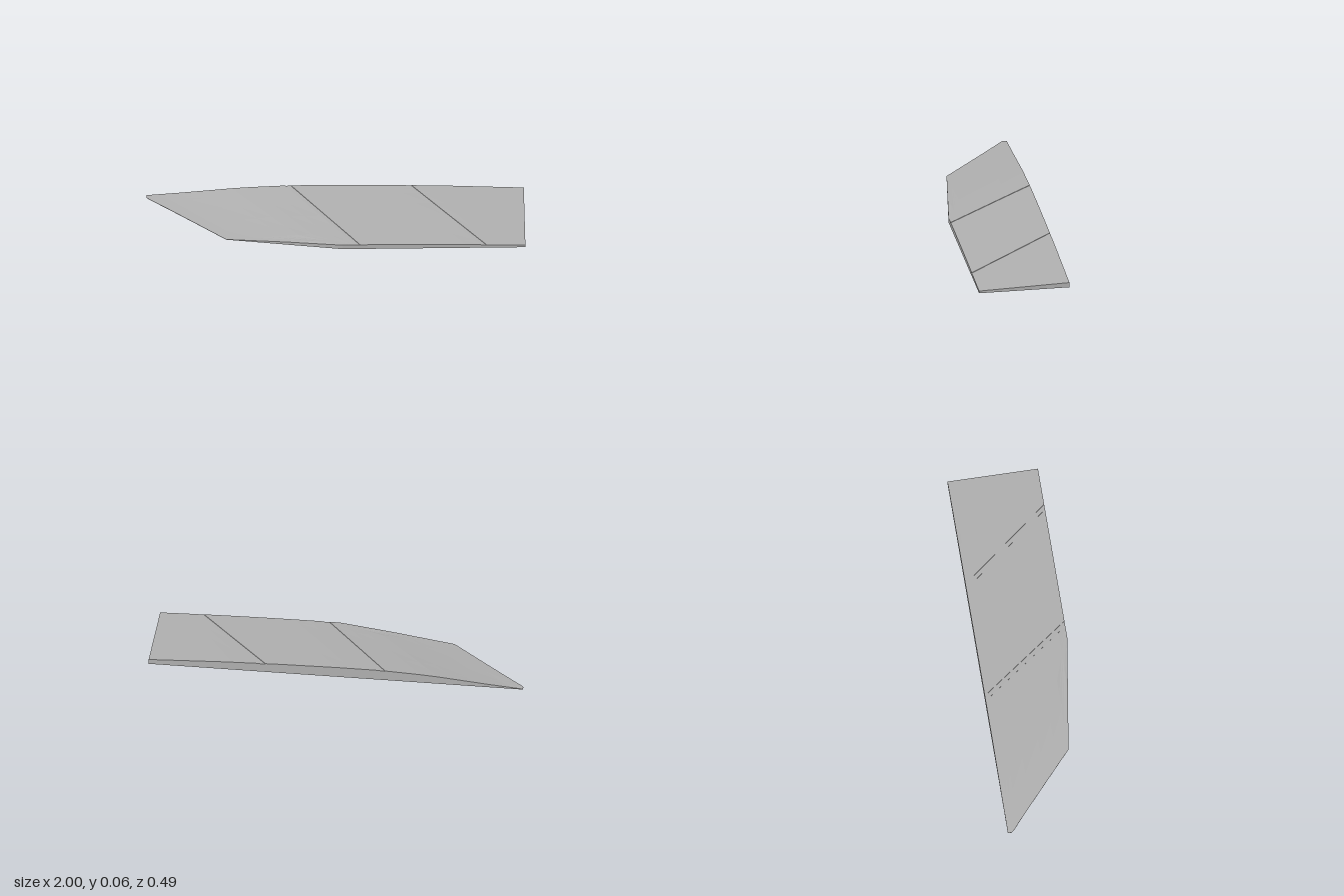
import * as THREE from 'three';

const HALF = 0.243; // half depth in z
const SPLITS = [[-0.25, 0.11], [0.39, 0.78]]; // panel seams: x at back, x at front
const SEAM = 0.015, DEPTH = 0.002;

// plan outline of the swept edge, as [z, x] stations
const EDGE = [[-HALF, -1], [-0.222, -1], [-0.205, -0.985], [-0.18, -0.955], [-0.1, -0.864],
  [0, -0.752], [0.08, -0.663], [0.15, -0.585], [0.2, -0.255], [HALF, 0.03]];

// thickness along the chord
const CHORD = [[0, 0.003], [0.1, 0.019], [0.25, 0.047], [0.375, 0.058], [0.5, 0.058],
  [0.65, 0.0535], [0.8, 0.045], [1, 0.027]];

function thickness(s) {
  if (s <= 0) return CHORD[0][1];
  for (let i = 1; i < CHORD.length; i++) {
    const [a, ya] = CHORD[i - 1], [b, yb] = CHORD[i];
    if (s <= b) return ya + (yb - ya) * (s - a) / (b - a);
  }
  return CHORD.at(-1)[1];
}

// upper surface height, thinning toward the front
function height(x, z) {
  const f = (z + HALF) / (2 * HALF);
  const lead = -1 + 0.513 * f;
  return thickness((x - lead) / (1 - lead)) * (1 - 0.53 * f);
}

// one section from the swept edge to the straight end, with sunken seams
function section([z, lead]) {
  const f = (z + HALF) / (2 * HALF);
  const points = [];
  const add = (x, sink = 0) => points.push(new THREE.Vector3(x, height(x, z) - sink, z));
  let from = lead;
  for (const [back, front] of SPLITS) {
    const x = back + (front - back) * f;
    for (let i = 0; i <= 8; i++) add(from + (x - SEAM - from) * i / 8);
    add(x - SEAM + 0.001, DEPTH);
    add(x + SEAM - 0.001, DEPTH);
    from = x + SEAM;
  }
  for (let i = 0; i <= 8; i++) add(from + (1 - from) * i / 8);
  return points;
}

const floor = (p) => new THREE.Vector3(p.x, 0, p.z);

// flat-faced mesh from a list of quads
function quadMesh(name, quads, material) {
  const pos = [];
  for (const [a, b, c, d] of quads) for (const p of [a, b, c, a, c, d]) pos.push(p.x, p.y, p.z);
  const geometry = new THREE.BufferGeometry();
  geometry.setAttribute('position', new THREE.Float32BufferAttribute(pos, 3));
  geometry.computeVertexNormals();
  const mesh = new THREE.Mesh(geometry, material);
  mesh.name = name;
  return mesh;
}

// vertical wall below a run of top points; outside is to the right of the run
const wall = (run) => run.slice(1).map((p, i) => [run[i], floor(run[i]), floor(p), p]);

export function createModel() {
  const grey = new THREE.MeshStandardMaterial({ color: 0xb0b0b0 });
  grey.name = 'plain grey';
  const group = new THREE.Group();
  group.name = 'taperedPanel';

  const rows = EDGE.map(section);
  const top = [], base = [];
  for (let j = 0; j < rows.length - 1; j++) {
    const a = rows[j], b = rows[j + 1];
    for (let i = 0; i < a.length - 1; i++) top.push([a[i], b[i], b[i + 1], a[i + 1]]);
    base.push([a[0], a.at(-1), b.at(-1), b[0]].map(floor));
  }

  group.add(
    quadMesh('topSkin', top, grey),
    quadMesh('base', base, grey),
    quadMesh('frontWall', wall(rows.at(-1)), grey),
    quadMesh('backWall', wall([...rows[0]].reverse()), grey),
    quadMesh('sweptEdge', wall(rows.map((r) => r[0])), grey),
    quadMesh('straightEnd', wall(rows.map((r) => r.at(-1)).reverse()), grey),
  );
  return group;
}
